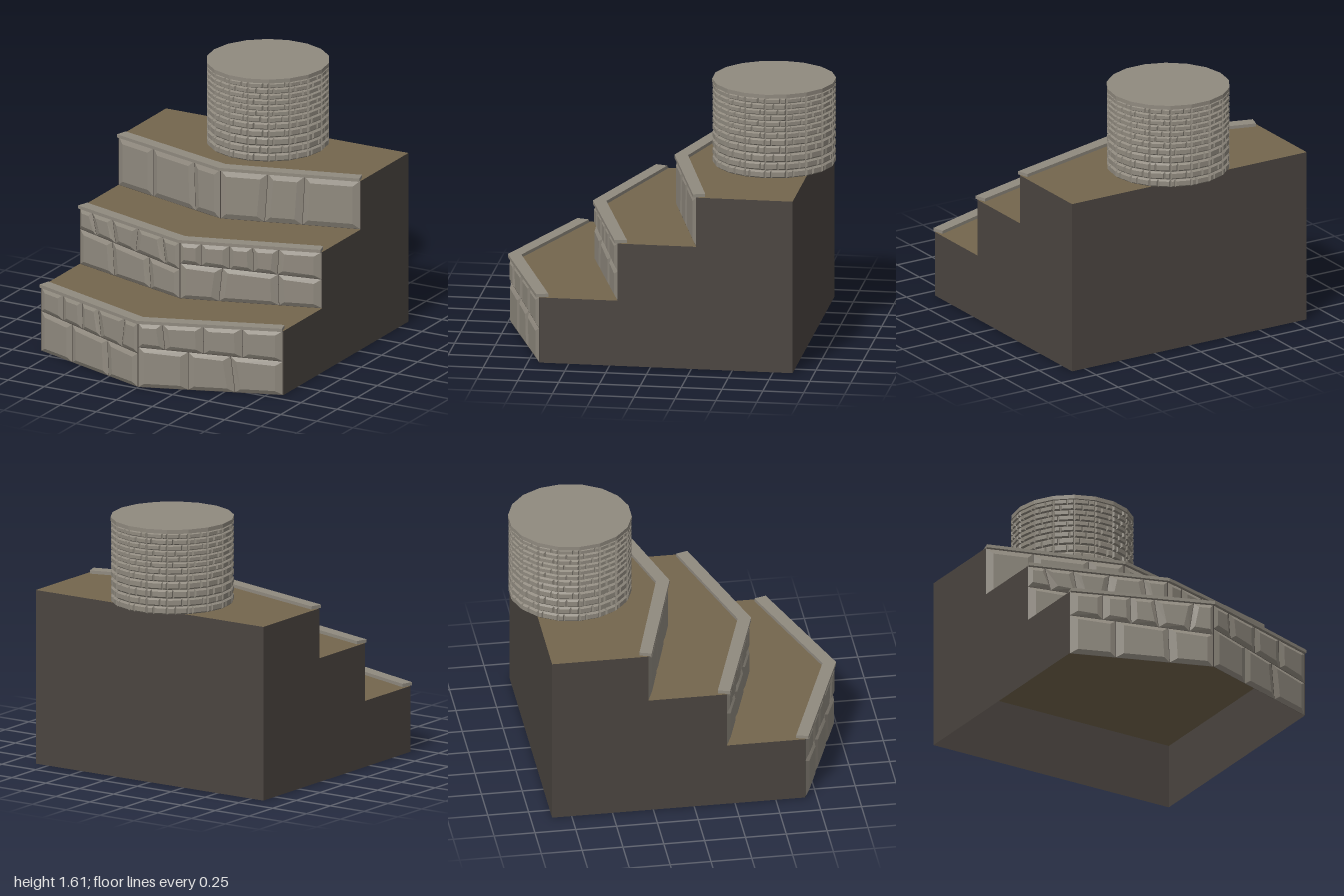
import * as THREE from 'three';

const mat = (name, color) => {
  const m = new THREE.MeshStandardMaterial({ color, flatShading: true, side: THREE.DoubleSide });
  m.name = name;
  return m;
};

const HALF = 0.84, BACK = -0.87, RECESS = 0.02;

// Each tier: floor, top, front z at the centre and at the ends, and its stone rows.
// A row's joints are [x at top, x at bottom]; the seam between rows drops from left to right.
const TIERS = [
  { y0: 0, y1: 0.41, zc: 1.0, ze: 0.70, seam: [0.255, 0.215],
    lower: [[[-0.57, -0.57], [-0.265, -0.255]], [[0.29, 0.29], [0.535, 0.56]]],
    upper: [[[-0.645, -0.645], [-0.485, -0.48], [-0.345, -0.32], [-0.115, -0.14]],
      [[0.14, 0.155], [0.375, 0.38], [0.60, 0.605]]] },
  { y0: 0.41, y1: 0.77, zc: 0.48, ze: 0.22, seam: [0.635, 0.595],
    lower: [[[-0.565, -0.55], [-0.26, -0.245]], [[0.25, 0.23], [0.58, 0.585]]],
    upper: [[[-0.735, -0.70], [-0.565, -0.54], [-0.35, -0.37], [-0.145, -0.12]],
      [[0.125, 0.125], [0.295, 0.295], [0.43, 0.435], [0.585, 0.575]]] },
  { y0: 0.77, y1: 1.08, zc: -0.02, ze: -0.26, seam: null,
    lower: [[[-0.55, -0.55], [-0.215, -0.205]], [[0.285, 0.265], [0.505, 0.49]]] },
];

// Geometry from a list of quads, each with four counter-clockwise corners
function quadGeometry(quads) {
  const pos = [];
  for (const [a, b, c, d] of quads) for (const p of [a, b, c, a, c, d]) pos.push(...p);
  const g = new THREE.BufferGeometry();
  g.setAttribute('position', new THREE.Float32BufferAttribute(pos, 3));
  g.computeVertexNormals();
  return g;
}

// Bevelled stone: base corners [u, v] from bottom left, with a raised inset face.
// place(u, v, d) sets a point at depth d on the wall.
function stone(corners, insetU, insetV, depth, place) {
  const su = [1, -1, -1, 1], sv = [1, 1, -1, -1];
  const base = corners.map(([u, v]) => place(u, v, 0));
  const face = corners.map(([u, v], i) => place(u + su[i] * insetU, v + sv[i] * insetV, depth));
  const quads = [face];
  for (let i = 0; i < 4; i++) {
    const j = (i + 1) % 4;
    quads.push([base[i], base[j], face[j], face[i]]);
  }
  return quads;
}

function flatShape(points) {
  return new THREE.Shape(points.map(([x, z]) => new THREE.Vector2(x, -z)));
}

function addMesh(parent, name, geometry, material) {
  const m = new THREE.Mesh(geometry, material);
  m.name = name;
  parent.add(m);
  return m;
}

// Stones of one tier, for the left and right halves of its angled front
function tierStones(t) {
  const place = (x, y, d) => [x, y, t.zc - (t.zc - t.ze) * Math.abs(x) / HALF - RECESS + d];
  const quads = [];
  for (let side = 0; side < 2; side++) {
    const xa = side ? 0.002 : -0.837, xb = side ? 0.837 : -0.002;
    const seamY = x => t.seam ? t.seam[0] + (t.seam[1] - t.seam[0]) * (x - xa) / (xb - xa) : t.y1;
    const row = (joints, bottom, top) => {
      const edges = [[xa, xa], ...joints[side], [xb, xb]];
      for (let i = 0; i < edges.length - 1; i++) {
        const [tl, bl] = edges[i], [tr, br] = edges[i + 1], g = 0.0015;
        const corners = [[bl + g, bottom(bl) + g], [br - g, bottom(br) + g],
          [tr - g, top(tr) - g], [tl + g, top(tl) - g]];
        quads.push(...stone(corners, Math.min(0.038, (tr - tl) * 0.2), t.seam ? 0.026 : 0.034, 0.016, place));
      }
    };
    row(t.lower, () => t.y0, seamY);
    if (t.upper) row(t.upper, seamY, () => t.y1);
  }
  return quadGeometry(quads);
}

// Small bricks on the faceted drum, with rows that get lower towards the top
function drumBricks(sides, apothem, rows) {
  const quads = [], half = Math.tan(Math.PI / sides) * apothem;
  for (let k = 0; k < sides; k++) {
    const a = k * 2 * Math.PI / sides, s = Math.sin(a), c = Math.cos(a);
    const place = (u, y, d) => [u * c + (apothem + d) * s, y, -u * s + (apothem + d) * c];
    for (let r = 0; r < rows.length - 1; r++) {
      const shift = ((k * 5 + r * 3) % 4) * 0.06;
      const cuts = r % 2 ? [0, 0.6 + shift, 1] : [0, 0.22 + shift, 1];
      for (let i = 0; i < cuts.length - 1; i++) {
        const u0 = (cuts[i] * 2 - 1) * half + 0.001, u1 = (cuts[i + 1] * 2 - 1) * half - 0.001;
        const y0 = rows[r] + 0.001, y1 = rows[r + 1] - 0.001;
        quads.push(...stone([[u0, y0], [u1, y0], [u1, y1], [u0, y1]],
          Math.min(0.007, (u1 - u0) * 0.2), (y1 - y0) * 0.2, 0.012, place));
      }
    }
  }
  return quadGeometry(quads);
}

export function createModel() {
  const model = new THREE.Group();
  model.name = 'terracedPlatform';
  const stoneMat = mat('stone', 0x908a7f);
  const soilMat = mat('soil', 0x74664d);
  const earthMat = mat('darkEarth', 0x4b4540);

  TIERS.forEach((t, i) => {
    const tier = new THREE.Group();
    tier.name = `tier${i + 1}`;
    model.add(tier);

    // Hollow earth walls, open underneath
    const outline = [[-HALF, t.ze - RECESS], [0, t.zc - RECESS], [HALF, t.ze - RECESS], [HALF, BACK], [-HALF, BACK]];
    const walls = outline.map(([x, z], k) => {
      const [x2, z2] = outline[(k + 1) % outline.length];
      return [[x, t.y0, z], [x2, t.y0, z2], [x2, t.y1, z2], [x, t.y1, z]];
    });
    addMesh(tier, 'earthWalls', quadGeometry(walls), earthMat);

    // Soil terrace
    const soil = new THREE.ShapeGeometry(flatShape(outline)).rotateX(-Math.PI / 2);
    addMesh(tier, 'soilTop', soil, soilMat).position.y = t.y1;

    // Retaining wall and its coping
    addMesh(tier, 'stoneWall', tierStones(t), stoneMat);
    const cap = flatShape([[-HALF, t.ze], [0, t.zc], [HALF, t.ze],
      [HALF - 0.022, t.ze - 0.072], [0, t.zc - 0.083], [-HALF + 0.022, t.ze - 0.072]]);
    const capGeo = new THREE.ExtrudeGeometry(cap, { depth: 0.02, bevelEnabled: false }).rotateX(-Math.PI / 2);
    addMesh(tier, 'coping', capGeo, stoneMat).position.y = t.y1;
  });

  // Brick drum standing at the back
  const drum = new THREE.Group();
  drum.name = 'brickDrum';
  drum.position.z = -0.63;
  model.add(drum);
  const sides = 18, step = Math.PI / sides, radius = 0.375;
  const rows = [1.08, 1.13, 1.18, 1.234, 1.284, 1.329, 1.369, 1.405, 1.441, 1.477, 1.513, 1.55, 1.585];
  const apothem = radius * Math.cos(step) - 0.013;
  const core = new THREE.CylinderGeometry(apothem / Math.cos(step), apothem / Math.cos(step), 0.505, sides, 1, false, step);
  addMesh(drum, 'drumCore', core, stoneMat).position.y = 1.081 + 0.2525;
  addMesh(drum, 'drumBricks', drumBricks(sides, apothem, rows), stoneMat);
  const lid = new THREE.CylinderGeometry(radius, radius, 0.025, sides, 1, false, step);
  addMesh(drum, 'drumLid', lid, stoneMat).position.y = 1.5975;

  return model;
}
